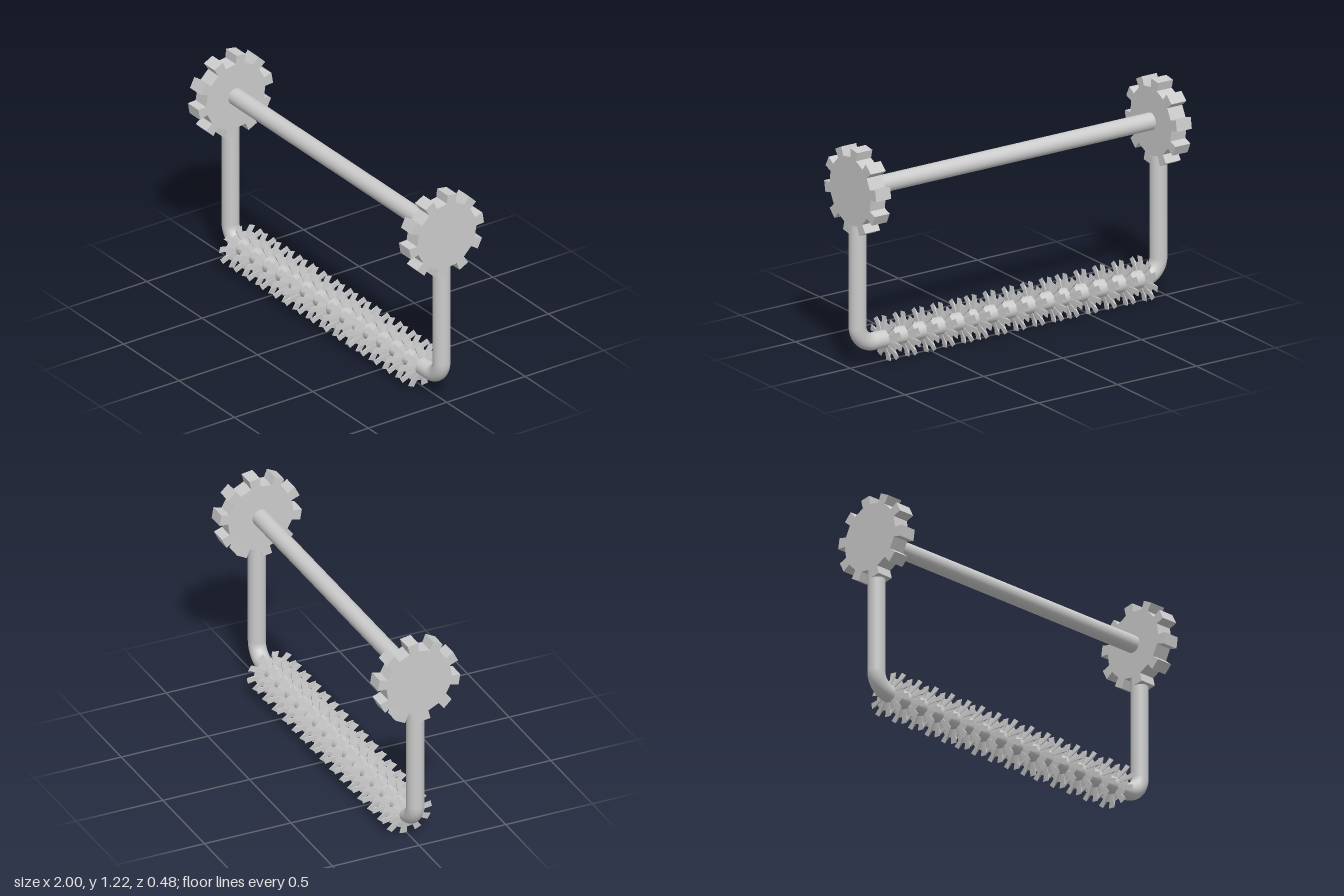
import * as THREE from 'three';

const TEETH = 10;
const AXLE_Y = 0.984, BAR_Y = 0.126, PIPE_R = 0.047, SIDE_X = 0.953, BEND = 0.1;

// Counter-clockwise toothed outline: four corners per tooth, teeth flaring outwards
function toothedOutline(root, tip, rootHalf, tipHalf, start) {
  const points = [];
  for (let i = 0; i < TEETH; i++) {
    const a = THREE.MathUtils.degToRad(start + (i * 360) / TEETH);
    const c = Math.cos(a), s = Math.sin(a);
    for (const [r, t] of [[root, -rootHalf], [tip, -tipHalf], [tip, tipHalf], [root, rootHalf]]) {
      points.push(new THREE.Vector2(r * c - t * s, r * s + t * c));
    }
  }
  return points;
}

// Thin toothed wheel that rises from a sharp rim to an apex on each side
function spikedWheelGeometry(halfThickness, radiusY, radiusZ) {
  const outline = toothedOutline(0.7, 0.98, 0.1, 0.145, -9.5);
  const positions = [];
  outline.forEach((p, i) => {
    const q = outline[(i + 1) % outline.length];
    const a = [0, p.y * radiusY, -p.x * radiusZ];
    const b = [0, q.y * radiusY, -q.x * radiusZ];
    positions.push(halfThickness, 0, 0, ...a, ...b);
    positions.push(-halfThickness, 0, 0, ...b, ...a);
  });
  const geometry = new THREE.BufferGeometry();
  geometry.setAttribute('position', new THREE.Float32BufferAttribute(positions, 3));
  geometry.computeVertexNormals();
  return geometry;
}

export function createModel() {
  const model = new THREE.Group();
  model.name = 'spikedRollerFrame';
  const smooth = new THREE.MeshStandardMaterial({ color: 0xcccccc });
  const flat = new THREE.MeshStandardMaterial({ color: 0xcccccc, flatShading: true });
  const add = (name, geometry, material, x, y) => {
    const mesh = new THREE.Mesh(geometry, material);
    mesh.name = name;
    mesh.position.set(x, y, 0);
    model.add(mesh);
    return mesh;
  };

  // Upper axle between the gears
  const axle = new THREE.CylinderGeometry(PIPE_R, PIPE_R, 1.84, 32).rotateZ(Math.PI / 2);
  add('axle', axle, smooth, 0, AXLE_Y);

  // End gears
  const gearShape = new THREE.Shape(toothedOutline(0.187, 0.236, 0.026, 0.031, 9.5));
  const gear = new THREE.ExtrudeGeometry(gearShape, { depth: 0.095, bevelEnabled: false });
  gear.translate(0, 0, -0.0475).rotateY(Math.PI / 2);
  for (const side of [-1, 1]) {
    add(side > 0 ? 'leftGear' : 'rightGear', gear, flat, side * 0.9525, AXLE_Y);
  }

  // Uprights and rounded elbows
  const uprightTop = 0.85, bendY = BAR_Y + BEND;
  const upright = new THREE.CylinderGeometry(PIPE_R, PIPE_R, uprightTop - bendY, 32);
  const elbow = new THREE.TorusGeometry(BEND, PIPE_R, 32, 16, Math.PI / 2);
  for (const side of [-1, 1]) {
    const prefix = side > 0 ? 'left' : 'right';
    add(prefix + 'Upright', upright, smooth, side * SIDE_X, (uprightTop + bendY) / 2);
    const bend = add(prefix + 'Elbow', elbow, smooth, side * (SIDE_X - BEND), bendY);
    bend.rotation.z = side > 0 ? -Math.PI / 2 : Math.PI;
  }

  // Lower bar
  const bar = new THREE.CylinderGeometry(PIPE_R, PIPE_R, 2 * (SIDE_X - BEND), 32).rotateZ(Math.PI / 2);
  add('lowerBar', bar, smooth, 0, BAR_Y);

  // Spiked wheels in three groups of five along the lower bar
  const wheel = spikedWheelGeometry(0.02, 0.122, 0.147);
  for (const start of [-0.85, -0.275, 0.295]) {
    for (let i = 0; i < 5; i++) {
      add('spikedWheel', wheel, flat, start + i * 0.119, BAR_Y);
    }
  }
  return model;
}
